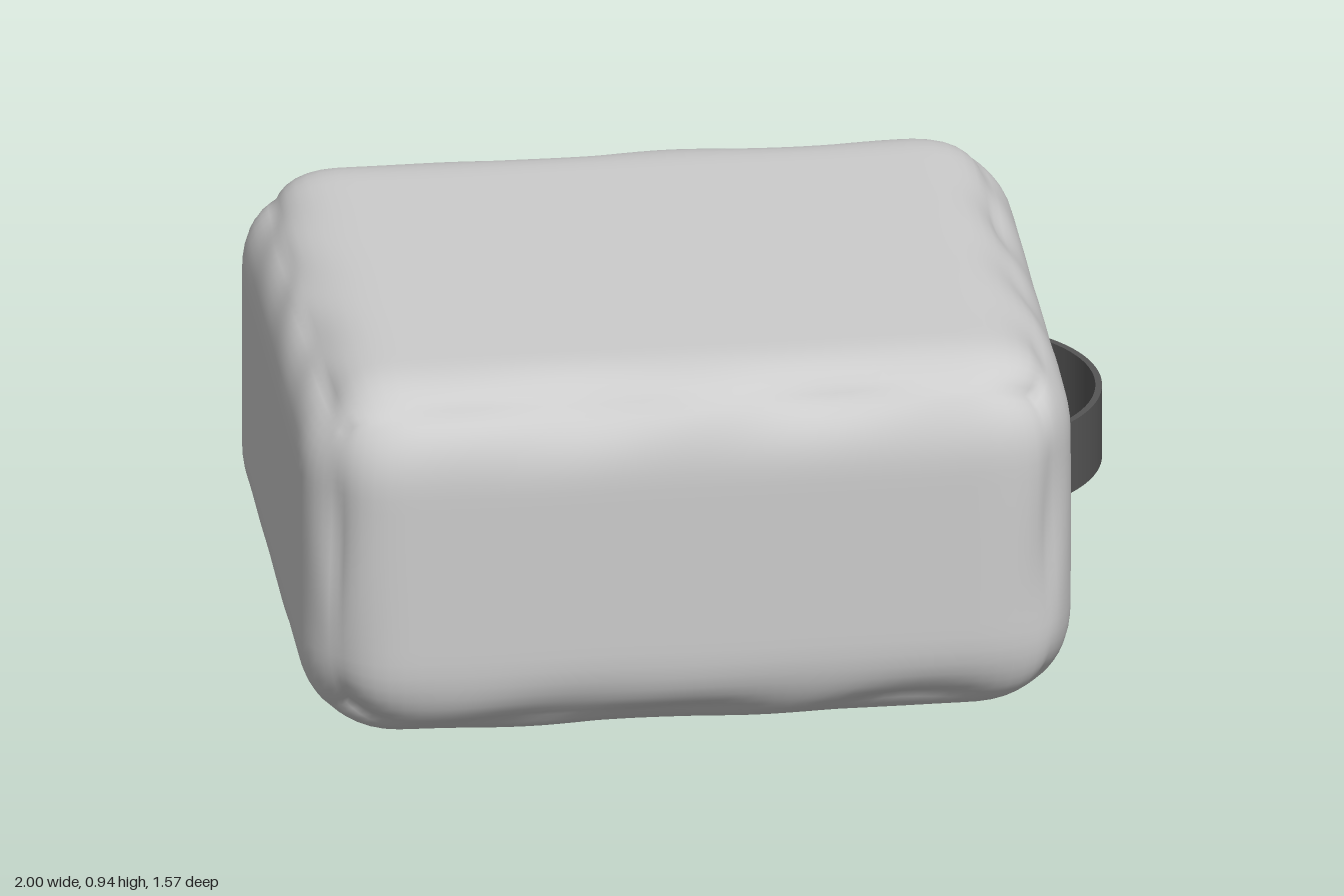
import * as THREE from 'three';
import { mergeVertices } from 'three/addons/utils/BufferGeometryUtils.js';

const W = 1.86, H = 0.935, D = 1.57; // block size
const R = 0.26, P = 2.5;             // edge rounding and its squareness

// Soft block: a gridded box whose edges are rounded and gently rippled
function softBlock() {
  let geo = new THREE.BoxGeometry(W, H, D, 48, 26, 42);
  geo.deleteAttribute('uv');
  geo.deleteAttribute('normal');
  geo = mergeVertices(geo, 1e-4);
  const pos = geo.attributes.position;
  const half = new THREE.Vector3(W / 2, H / 2, D / 2);
  const core = half.clone().subScalar(R);
  const p = new THREE.Vector3(), q = new THREE.Vector3(), d = new THREE.Vector3();
  for (let i = 0; i < pos.count; i++) {
    p.fromBufferAttribute(pos, i);
    q.copy(p).clamp(core.clone().negate(), core);
    d.copy(p).sub(q);
    const len = Math.pow(
      Math.abs(d.x) ** P + Math.abs(d.y) ** P + Math.abs(d.z) ** P, 1 / P);
    d.multiplyScalar(R / len);
    // ripple only where the surface turns between two faces
    const turn = 1 - Math.max(Math.abs(d.x), Math.abs(d.y), Math.abs(d.z)) / R;
    const wave = 0.5 + 0.3 * Math.sin(9 * p.x + 5 * p.z + 2 * p.y)
      + 0.2 * Math.sin(17 * p.z - 13 * p.x + 11 * p.y);
    d.multiplyScalar(1 - 0.45 * turn * wave);
    p.copy(q).add(d);
    pos.setXYZ(i, p.x, p.y, p.z);
  }
  geo.computeVertexNormals();
  return geo;
}

// Curved strap: an arc band extruded upward
function strapBand(radius, thickness, height, angle) {
  const shape = new THREE.Shape();
  shape.absarc(0, 0, radius, -angle, angle, false);
  shape.absarc(0, 0, radius - thickness, angle, -angle, true);
  const geo = new THREE.ExtrudeGeometry(shape, {
    depth: height, bevelEnabled: false, curveSegments: 32,
  });
  geo.translate(0, 0, -height / 2);
  geo.rotateX(-Math.PI / 2);
  return geo;
}

export function createModel() {
  const fabric = new THREE.MeshStandardMaterial({ color: 0xcccccc });
  fabric.name = 'lightGreyFabric';
  const webbing = new THREE.MeshStandardMaterial({ color: 0x555555 });
  webbing.name = 'darkGreyWebbing';

  const model = new THREE.Group();
  model.name = 'softBlockWithHandle';

  const body = new THREE.Mesh(softBlock(), fabric);
  body.name = 'body';
  body.position.set(-1 + W / 2, H / 2, 0);

  // Side handle, its ends sunk into the body
  const handle = new THREE.Mesh(strapBand(0.35, 0.016, 0.186, 0.98), webbing);
  handle.name = 'handle';
  handle.position.set(0.65, H / 2, 0);

  model.add(body, handle);
  return model;
}
